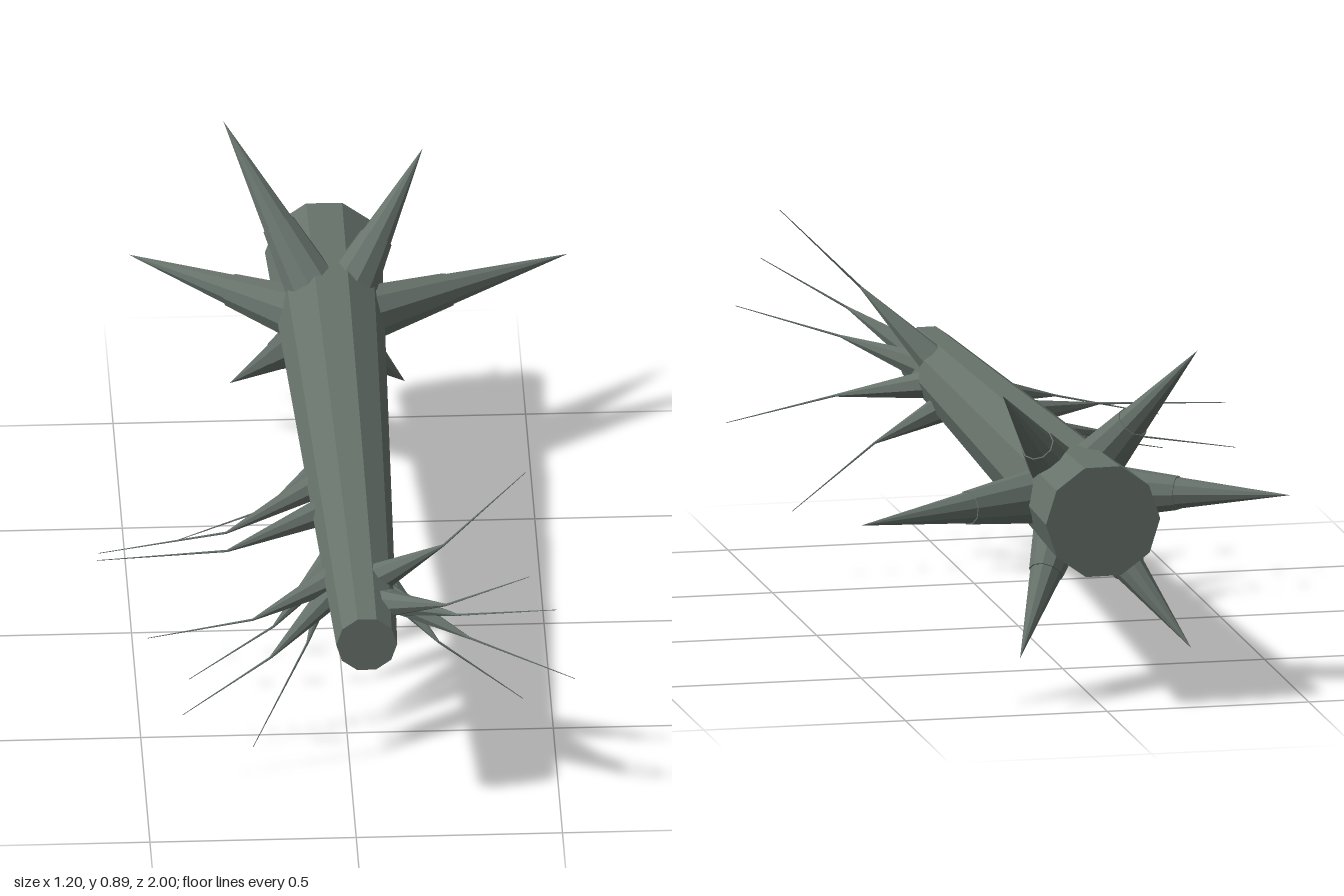
import * as THREE from 'three';

const bark = new THREE.MeshStandardMaterial({ color: 0x67726b, flatShading: true });
bark.name = 'greyBark';

const UP = new THREE.Vector3(0, 1, 0);
const TRUNK_BACK = new THREE.Vector3(0.01, 0.47, -1);
const TRUNK_FRONT = new THREE.Vector3(0.03, 0.482, 0.9);

// tapered limb section running from a (radius ra) to b (radius rb)
function limb(name, a, b, ra, rb, sides, spin = 0) {
  const dir = b.clone().sub(a);
  const geo = new THREE.CylinderGeometry(rb, ra, dir.length(), sides);
  geo.rotateY(spin);
  const mesh = new THREE.Mesh(geo, bark);
  mesh.name = name;
  mesh.position.copy(a).add(b).multiplyScalar(0.5);
  mesh.quaternion.setFromUnitVectors(UP, dir.normalize());
  return mesh;
}

// point on the trunk's core at a given z
function core(z) {
  return TRUNK_BACK.clone().lerp(TRUNK_FRONT, (z + 1) / 1.9);
}

export function createModel() {
  const model = new THREE.Group();
  model.name = 'fallenTree';

  // ten-sided trunk lying along z, thick end at the back
  model.add(limb('trunk', TRUNK_BACK, TRUNK_FRONT, 0.142, 0.074, 10, Math.PI / 10));

  // ring of roots sweeping backwards, each in two sections
  const rootTips = [
    [-0.235, 0.872], [0.248, 0.782], [0.6, 0.477],
    [0.205, 0.13], [-0.22, 0.135], [-0.465, 0.503],
  ];
  for (const [x, y] of rootTips) {
    const root = new THREE.Group();
    root.name = 'root';
    const base = core(-0.65);
    const tip = new THREE.Vector3(x, y, -0.95);
    const middle = base.clone().lerp(tip, 0.49);
    root.add(limb('rootBase', base, middle, 0.081, 0.042, 10));
    root.add(limb('rootTip', middle, tip, 0.039, 0, 10));
    model.add(root);
  }

  // bent branches: [z on trunk, bend point, tip]
  const branches = [
    [0.62, [0.22, 0.685, 0.78], [0.42, 0.885, 0.78]],
    [0.70, [0.22, 0.603, 0.925], [0.42, 0.72, 0.998]],
    [0.67, [0.25, 0.545, 0.875], [0.487, 0.61, 0.972]],
    [0.60, [0.285, 0.42, 0.775], [0.537, 0.347, 0.856]],
    [0.45, [0.215, 0.33, 0.635], [0.42, 0.168, 0.64]],
    [0.20, [-0.285, 0.455, 0.392], [-0.602, 0.441, 0.4]],
    [0.05, [-0.28, 0.415, 0.237], [-0.59, 0.365, 0.237]],
    [-0.03, [-0.18, 0.43, 0.155], [-0.405, 0.378, 0.21]],
    [0.37, [-0.18, 0.335, 0.553], [-0.385, 0.193, 0.555]],
    [0.52, [-0.235, 0.42, 0.663], [-0.49, 0.365, 0.647]],
    [0.52, [-0.195, 0.335, 0.703], [-0.41, 0.2, 0.738]],
    [0.25, [-0.095, 0.243, 0.48], [-0.23, 0, 0.557]],
  ];
  for (const [z, bend, end] of branches) {
    const branch = new THREE.Group();
    branch.name = 'branch';
    const middle = new THREE.Vector3(...bend);
    branch.add(limb('branchBase', core(z), middle, 0.046, 0.003, 8));
    branch.add(limb('twig', middle, new THREE.Vector3(...end), 0.003, 0.0008, 5));
    model.add(branch);
  }

  return model;
}
